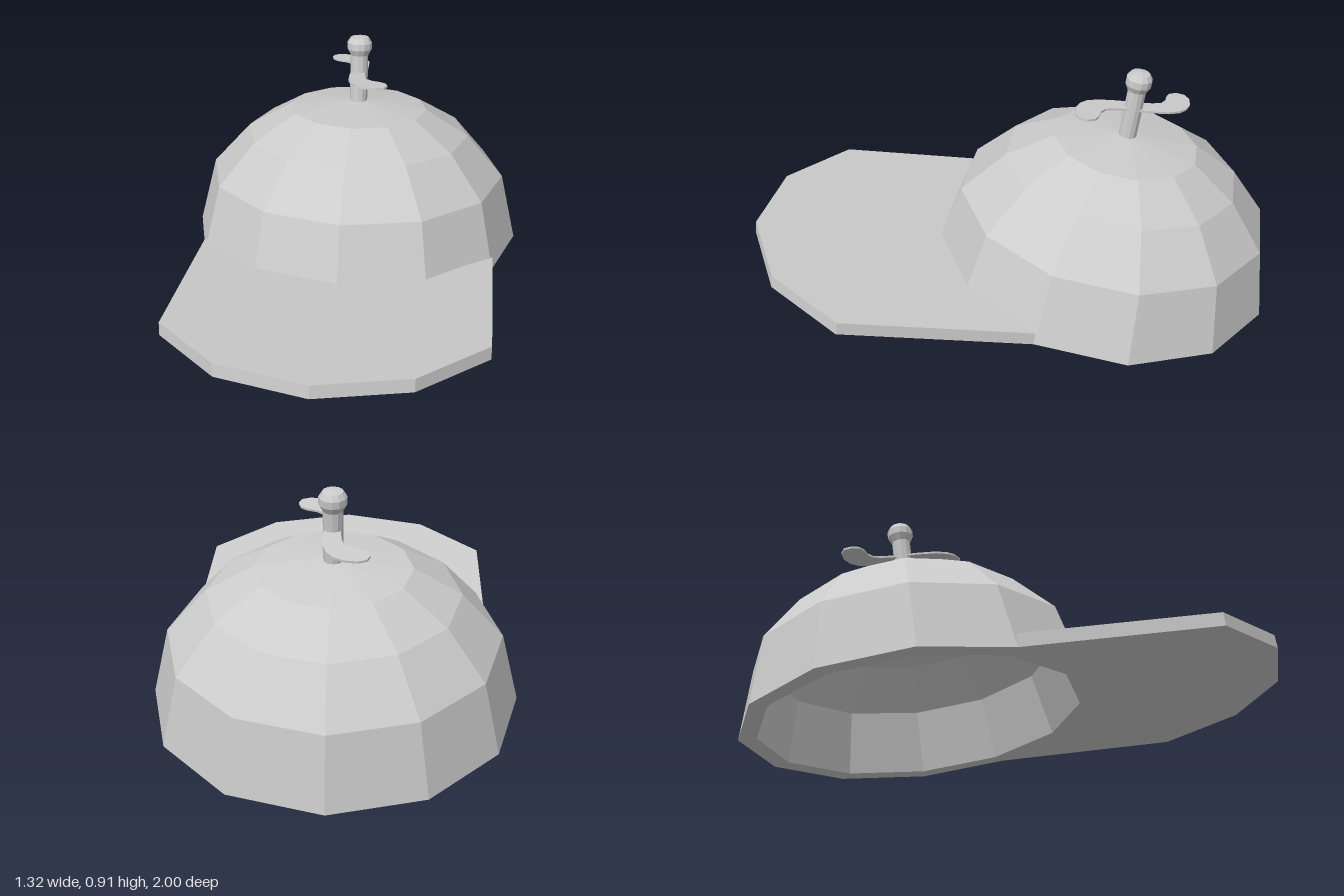
import * as THREE from 'three';

export function createModel() {
  const model = new THREE.Group();
  model.name = 'propellerCap';

  const grey = new THREE.MeshStandardMaterial({ color: 0xcccccc });
  grey.name = 'light grey';
  grey.flatShading = true;

  // everything sits in a frame tipped back so the brim rises
  const cap = new THREE.Group();
  cap.name = 'cap';
  cap.position.set(0, 0.0905, -0.345);
  cap.rotation.x = -0.1365;
  model.add(cap);

  const add = (name, geometry, parent = cap) => {
    const mesh = new THREE.Mesh(geometry, grey);
    mesh.name = name;
    parent.add(mesh);
    return mesh;
  };
  const vectors = (list) => list.map(([x, y]) => new THREE.Vector2(x, y));

  // horizontal plate from an (x, z) outline, resting on height y
  const plate = (outline, y, depth) =>
    new THREE.ExtrudeGeometry(new THREE.Shape(vectors(outline)), { depth, bevelEnabled: false })
      .rotateX(Math.PI / 2)
      .translate(0, y + depth, 0);

  // dome: hollow twelve-sided shell, inner wall down, rim, outer wall up
  const outer = [[0.66, 0], [0.595, 0.264], [0.447, 0.43], [0.276, 0.53], [0, 0.564]];
  const inner = outer.map(([r, y]) => [r * 0.9, y * 0.9]).reverse();
  add('dome', new THREE.LatheGeometry(vectors([...inner, ...outer]), 12));

  // brim: follows the dome's front facets, repeated further forward
  const arc = (radius, shift) => [-2, -1, 0, 1, 2].map((i) => {
    const a = (i * Math.PI) / 6;
    return [Math.sin(a) * radius, Math.cos(a) * radius + shift];
  });
  const back = arc(0.63, 0);
  back[0] = [-0.5716, 0.33];
  back[4] = [0.5716, 0.33];
  add('brim', plate([...arc(0.66, 0.697), ...back.reverse()], 0, 0.05));

  // stem with its rounded knob
  add('stem', new THREE.CylinderGeometry(0.035, 0.035, 0.25, 12).translate(0, 0.645, 0));
  add('knob', new THREE.LatheGeometry(vectors([
    [0.03, 0.745], [0.036, 0.748], [0.049, 0.772], [0.049, 0.798], [0.036, 0.818], [0, 0.823],
  ]), 12));

  // propeller: two hooked blades, half a turn apart
  const propeller = new THREE.Group();
  propeller.name = 'propeller';
  cap.add(propeller);
  const blade = [
    [-0.03, 0], [-0.032, 0.06], [-0.028, 0.13], [-0.014, 0.175], [0.008, 0.203], [0.045, 0.225],
    [0.09, 0.231], [0.12, 0.219], [0.13, 0.19], [0.12, 0.16], [0.098, 0.144], [0.063, 0.132],
    [0.04, 0.112], [0.032, 0.08], [0.027, 0.03], [0.03, 0],
  ];
  for (let i = 0; i < 2; i++) {
    add('blade', plate(blade, 0.673, 0.008), propeller).rotation.y = i * Math.PI;
  }

  return model;
}
